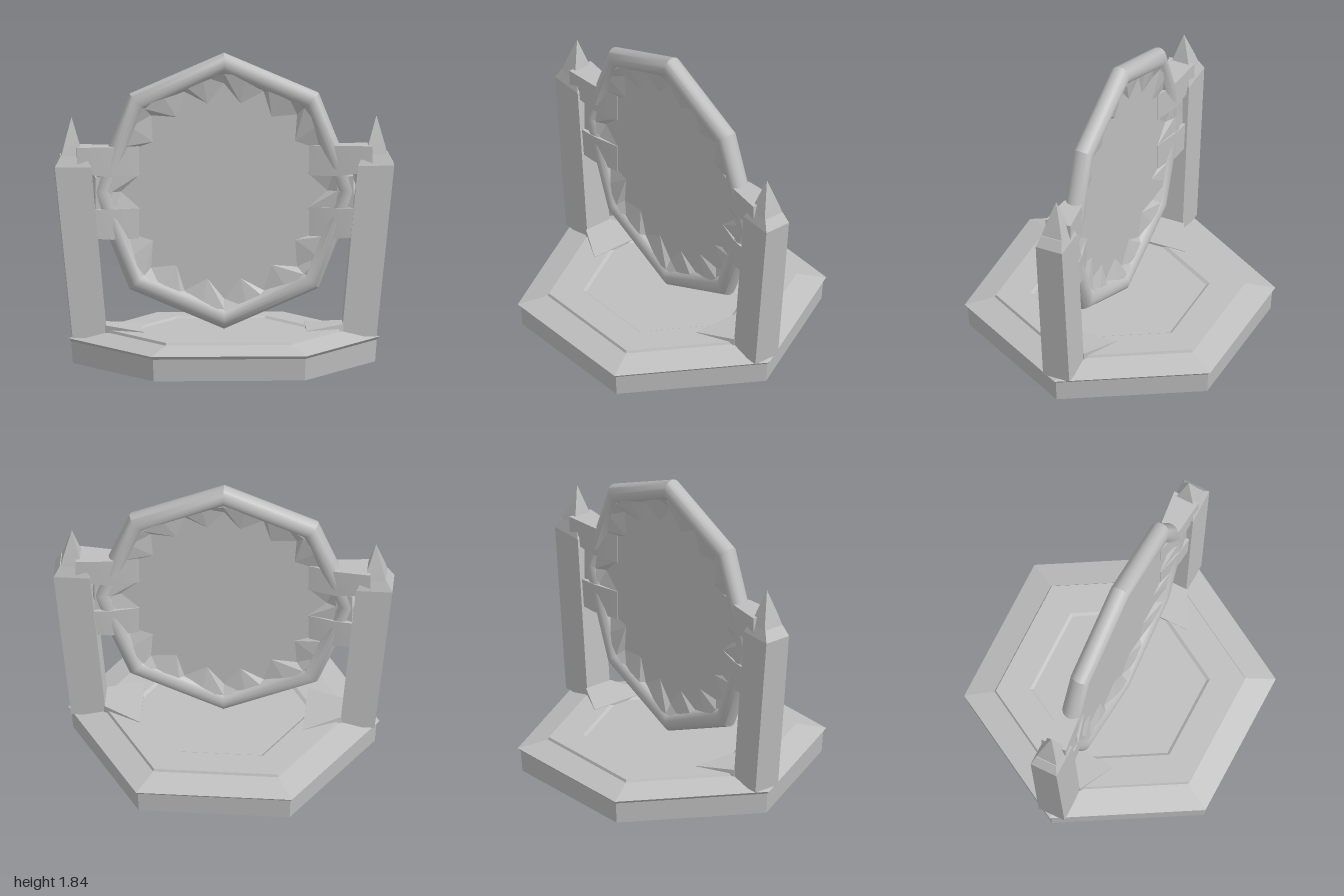
import * as THREE from 'three';
import { toCreasedNormals } from 'three/addons/utils/BufferGeometryUtils.js';

const stone = new THREE.MeshStandardMaterial({ color: 0xbebebe });
stone.name = 'grey stone';

const RING_Y = 1.02;

function add(parent, name, geometry, crease = 0.35) {
  const mesh = new THREE.Mesh(toCreasedNormals(geometry, crease), stone);
  mesh.name = name;
  parent.add(mesh);
  return mesh;
}

// Closed solid through polygon sections that all have the same number of corners
function loft(sections) {
  const n = sections[0].length;
  const pos = [];
  const tri = (a, b, c) => pos.push(...a, ...b, ...c);
  for (let s = 0; s < sections.length - 1; s++) {
    for (let i = 0; i < n; i++) {
      const j = (i + 1) % n, a = sections[s], b = sections[s + 1];
      tri(a[i], a[j], b[j]);
      tri(a[i], b[j], b[i]);
    }
  }
  const first = sections[0], last = sections[sections.length - 1];
  for (let i = 1; i < n - 1; i++) {
    tri(first[0], first[i + 1], first[i]);
    tri(last[0], last[i], last[i + 1]);
  }
  const g = new THREE.BufferGeometry();
  g.setAttribute('position', new THREE.Float32BufferAttribute(pos, 3));
  g.computeVertexNormals();
  return g;
}

// Horizontal rectangle, wound for lofting upwards
const levelRect = (x0, x1, y, z) => [[x0, y, z], [x1, y, z], [x1, y, -z], [x0, y, -z]];
// Upright rectangle, wound for lofting towards +x
const sideRect = (x, y0, y1, z) => [[x, y0, z], [x, y0, -z], [x, y1, -z], [x, y1, z]];

// Sloping jagged facets between the panel and the ring, on one face
function facetGeometry() {
  const count = 32, pos = [];
  const point = (i, r, z) => {
    const a = (i / count) * Math.PI * 2;
    return [Math.cos(a) * r * 0.95, Math.sin(a) * r, z];
  };
  for (let i = 0; i < count; i++) {
    const r0 = i % 2 ? 0.53 : 0.64, r1 = i % 2 ? 0.64 : 0.53;
    const a = point(i, r0, 0.012), b = point(i + 1, r1, 0.012);
    const c = point(i, 0.7, 0.045), d = point(i + 1, 0.7, 0.045);
    pos.push(...a, ...c, ...d, ...a, ...d, ...b);
  }
  const g = new THREE.BufferGeometry();
  g.setAttribute('position', new THREE.Float32BufferAttribute(pos, 3));
  g.computeVertexNormals();
  return g;
}

// Post, cap, spike and brackets for the +x side
function createSupport(name) {
  const support = new THREE.Group();
  support.name = name;

  add(support, 'post', loft([
    levelRect(0.69, 0.895, 0.16, 0.085),
    levelRect(0.785, 1.0, 1.175, 0.085),
  ]));
  add(support, 'postCap', loft([
    levelRect(0.785, 1.0, 1.175, 0.085),
    levelRect(0.82, 0.965, 1.24, 0.065),
  ]));
  add(support, 'spike', loft([
    levelRect(0.83, 0.97, 1.2, 0.075),
    levelRect(0.85, 0.945, 1.3, 0.05),
    levelRect(0.897, 0.899, 1.46, 0.001),
  ]));

  // Brackets holding the ring
  add(support, 'upperBracket', loft([
    sideRect(0.5, 1.11, 1.29, 0.015),
    sideRect(0.67, 1.11, 1.29, 0.06),
    sideRect(0.87, 1.14, 1.29, 0.08),
  ]));
  add(support, 'middleBracket', loft([
    sideRect(0.64, 0.93, 1.1, 0.03),
    sideRect(0.76, 0.92, 1.11, 0.055),
  ]));
  add(support, 'lowerBracket', loft([
    sideRect(0.5, 0.74, 0.92, 0.015),
    sideRect(0.66, 0.74, 0.92, 0.06),
    sideRect(0.79, 0.75, 0.92, 0.075),
  ]));

  // Low wedge at the foot of the post
  add(support, 'footWedge', loft([
    sideRect(0.48, 0.19, 0.211, 0.2),
    sideRect(0.7, 0.19, 0.235, 0.09),
  ]));
  return support;
}

export function createModel() {
  const model = new THREE.Group();
  model.name = 'ringMonument';

  // Six-sided stepped base
  const profile = [
    [0, 0], [0.89, 0], [0.9, 0.13], [0.918, 0.148], [0.74, 0.193],
    [0.732, 0.208], [0.53, 0.208], [0.51, 0.196], [0, 0.196],
  ].map(([r, y]) => new THREE.Vector2(r, y));
  add(model, 'base', new THREE.LatheGeometry(profile, 6, Math.PI / 2), 0.1);

  // Eight-sided ring with a round section
  const ring = new THREE.Group();
  ring.name = 'ringAssembly';
  ring.position.y = RING_Y;
  model.add(ring);
  const tube = new THREE.TorusGeometry(0.757, 0.064, 18, 8);
  tube.scale(0.96, 1, 0.94);
  add(ring, 'ring', tube, 0.6);

  // Flat panel closing the ring
  const panel = new THREE.CylinderGeometry(0.74, 0.74, 0.024, 8, 1, false, 0);
  panel.rotateX(Math.PI / 2);
  panel.scale(0.95, 1, 1);
  add(ring, 'panel', panel);
  add(ring, 'frontFacets', facetGeometry(), 0.1);
  add(ring, 'backFacets', facetGeometry(), 0.1).rotation.y = Math.PI;

  // Matching supports on both sides
  const left = createSupport('leftSupport');
  const right = createSupport('rightSupport');
  right.rotation.y = Math.PI;
  model.add(left, right);
  return model;
}
